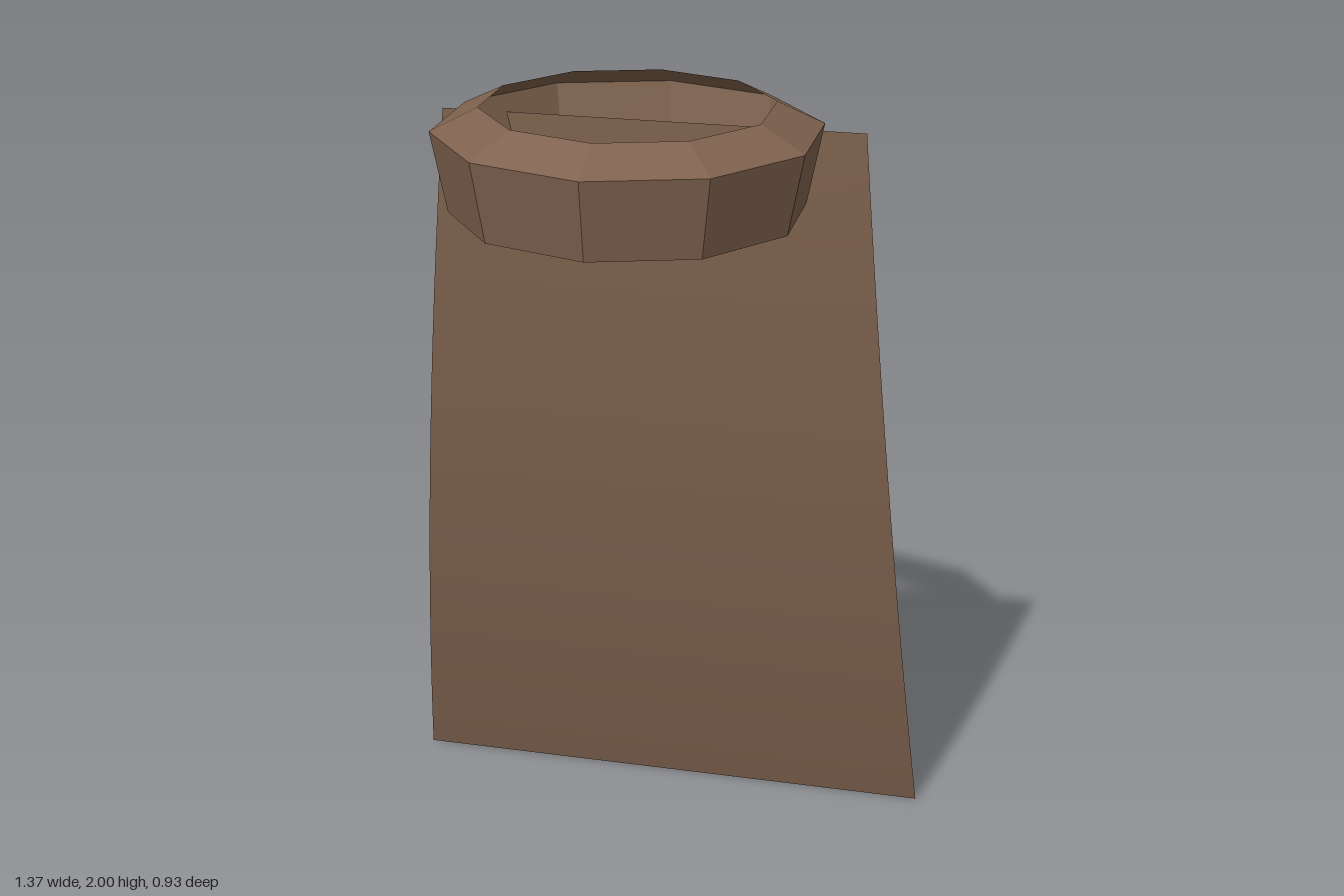
import * as THREE from 'three';

export function createModel() {
  const group = new THREE.Group();

  const leather = new THREE.MeshStandardMaterial({ color: 0x7f624e });
  leather.name = 'brown cloth';
  leather.side = THREE.DoubleSide;
  const facetedLeather = leather.clone();
  facetedLeather.name = 'brown collar';
  facetedLeather.flatShading = true;

  // Collar: open ten-sided band, flaring upward and folding in at the rim
  const collarProfile = [
    new THREE.Vector2(0.41, 1.76),
    new THREE.Vector2(0.447, 1.947),
    new THREE.Vector2(0.337, 2.0),
  ];
  const collar = new THREE.Mesh(new THREE.LatheGeometry(collarProfile, 10), facetedLeather);
  collar.name = 'collar';
  collar.position.z = 0.017;
  group.add(collar);

  // Cape: single sheet that widens and sweeps backward toward the hem
  const height = 1.905;
  const cloth = new THREE.PlaneGeometry(1, 1, 8, 32);
  const pos = cloth.attributes.position;
  for (let i = 0; i < pos.count; i++) {
    const t = 0.5 - pos.getY(i); // 0 at the shoulders, 1 at the hem
    const halfWidth = 0.51 + 0.176 * t;
    pos.setXYZ(i, pos.getX(i) * 2 * halfWidth, height * (1 - t), -0.21 - 0.26 * t * t);
  }
  cloth.computeVertexNormals();
  const cape = new THREE.Mesh(cloth, leather);
  cape.name = 'cape';
  group.add(cape);

  return group;
}
